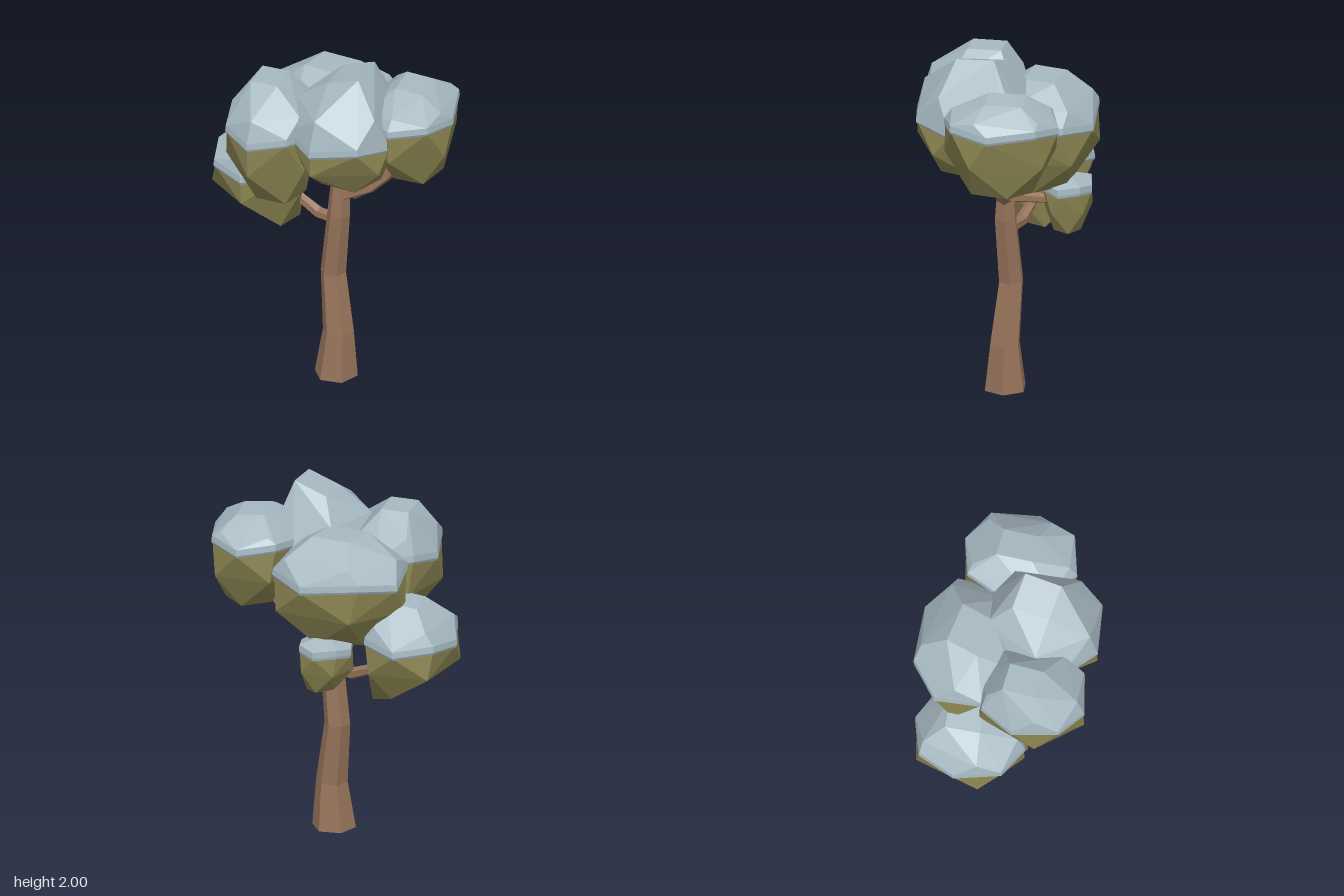
import * as THREE from 'three';
import { ConvexGeometry } from 'three/addons/geometries/ConvexGeometry.js';

const mat = (color, side = THREE.FrontSide) =>
  new THREE.MeshStandardMaterial({ color, flatShading: true, side });
const bark = mat(0x96735a, THREE.DoubleSide);
const leaf = mat(0x88824f);
const snow = mat(0xa6b8c1);

// Faceted limb: path entries are [x, y, z, radius]; open at the start, closed at the tip
function limb(name, path, ref, sides = 6) {
  const centres = path.map(([x, y, z]) => new THREE.Vector3(x, y, z));
  const last = path.length - 1;
  const rings = path.map(([, y, , r], i) => {
    const t = centres[Math.min(i + 1, last)].clone().sub(centres[Math.max(i - 1, 0)]).normalize();
    if (y === 0) t.set(0, 1, 0); // flat foot on the ground
    const u = new THREE.Vector3().crossVectors(ref, t).normalize();
    const v = new THREE.Vector3().crossVectors(t, u);
    return Array.from({ length: sides }, (_, j) => {
      const a = (j / sides) * Math.PI * 2;
      return centres[i].clone().addScaledVector(u, r * Math.cos(a)).addScaledVector(v, r * Math.sin(a));
    });
  });
  const pts = [];
  for (let j = 0; j < sides; j++) {
    const k = (j + 1) % sides;
    for (let i = 0; i < last; i++) {
      const [a, b, c, d] = [rings[i][j], rings[i][k], rings[i + 1][k], rings[i + 1][j]];
      pts.push(a, b, c, a, c, d);
    }
    pts.push(rings[last][j], rings[last][k], centres[last]);
  }
  const geo = new THREE.BufferGeometry().setFromPoints(pts);
  geo.computeVertexNormals();
  const mesh = new THREE.Mesh(geo, bark);
  mesh.name = name;
  return mesh;
}

// Foliage clump with a snow cap: heights are [bottom, snow line, top];
// peak and foot are [x shift, z shift, slope along x] of the end facets
function clump(name, [cx, cz], [rx, rz], [bottom, line, top], turn, peak, foot) {
  // Boxy ring around the clump, its height alternating by wave
  const ring = (y, scale, { sides = 8, wave = 0, twist = 0, shift = [0, 0, 0] } = {}) =>
    Array.from({ length: sides }, (_, i) => {
      const a = turn + twist + (i / sides) * Math.PI * 2;
      const round = (v) => Math.sign(v) * Math.abs(v) ** 0.85;
      const x = rx * scale * round(Math.cos(a));
      const z = rz * scale * round(Math.sin(a));
      return new THREE.Vector3(cx + x + shift[0], y + x * shift[2] + (i % 2 ? wave : -wave), cz + z + shift[1]);
    });
  const wave = (top - bottom) * 0.03;
  const belly = line - (line - bottom) * 0.45;
  const shoulder = line + (top - line) * 0.55;

  const foliage = new THREE.Mesh(new ConvexGeometry([
    ...ring(line + 0.01, 0.985, { wave }),
    ...ring(belly, 1.0, { sides: 5, twist: 0.3 }),
    ...ring(bottom, 0.55, { sides: 5, twist: 0.9, shift: foot }),
  ]), leaf);
  foliage.name = name + 'Leaves';

  const cap = new THREE.Mesh(new ConvexGeometry([
    ...ring(line, 0.99, { wave }),
    ...ring(line + 0.015, 1.015, { wave }),
    ...ring(line + 0.05, 1.0, { wave }),
    ...ring(shoulder, 0.87, { sides: 5, twist: 0.3 }),
    ...ring(top, 0.42, { sides: 4, twist: 0.7, shift: peak }),
  ]), snow);
  cap.name = name + 'Snow';

  const group = new THREE.Group();
  group.name = name;
  return group.add(foliage, cap);
}

export function createModel() {
  const tree = new THREE.Group();
  tree.name = 'snowyTree';
  const xAxis = new THREE.Vector3(1, 0, 0);
  const zAxis = new THREE.Vector3(0, 0, 1);

  // Bent trunk, flared at the foot
  tree.add(limb('trunk', [
    [0.02, 0, 0.01, 0.122], [0.032, 0.27, 0.01, 0.088], [-0.005, 0.62, -0.02, 0.072],
    [0.033, 1.0, 0.007, 0.064], [0.05, 1.38, -0.003, 0.042],
  ], zAxis));

  // Branches reaching into the clumps
  tree.add(limb('leftBranch', [
    [0.04, 1.12, 0.01, 0.045], [0.21, 1.19, 0.01, 0.036], [0.3, 1.27, 0, 0.033], [0.4, 1.4, 0, 0.03],
  ], zAxis));
  tree.add(limb('rightBranch', [
    [0.03, 0.945, -0.02, 0.036], [-0.1, 0.94, -0.07, 0.034], [-0.21, 0.99, -0.11, 0.03], [-0.3, 1.05, -0.14, 0.026],
  ], zAxis));
  tree.add(limb('backBranch', [
    [0.04, 1.13, 0, 0.036], [0.03, 1.125, -0.1, 0.032], [0.01, 1.11, -0.27, 0.026],
  ], xAxis));

  // Crown
  tree.add(
    clump('frontClump', [0.11, 0.165], [0.3, 0.34], [1.33, 1.6, 1.96], 0.3, [0.03, -0.03, 0.35], [0.04, 0, 0]),
    clump('frontRightClump', [-0.29, 0.19], [0.25, 0.3], [1.21, 1.59, 1.87], 0.2, [-0.03, -0.05, 0], [0.05, 0.02, 0]),
    clump('backClump', [-0.06, -0.2], [0.37, 0.3], [1.2, 1.56, 1.81], 0.4, [0, 0, 0], [0.02, 0.03, 0]),
    clump('leftClump', [0.445, -0.01], [0.25, 0.32], [1.33, 1.68, 1.85], 0.15, [0.01, -0.02, -0.1], [0.03, 0, 0]),
    clump('lowRightClump', [-0.44, -0.13], [0.265, 0.31], [0.91, 1.2, 1.44], 0.1, [0.02, -0.03, 0.15], [0.06, 0, -0.45]),
    clump('smallBackClump', [-0.01, -0.33], [0.15, 0.14], [0.95, 1.165, 1.25], 0.25, [0, 0.01, 0], [0.02, 0, -0.15]),
  );
  return tree;
}
